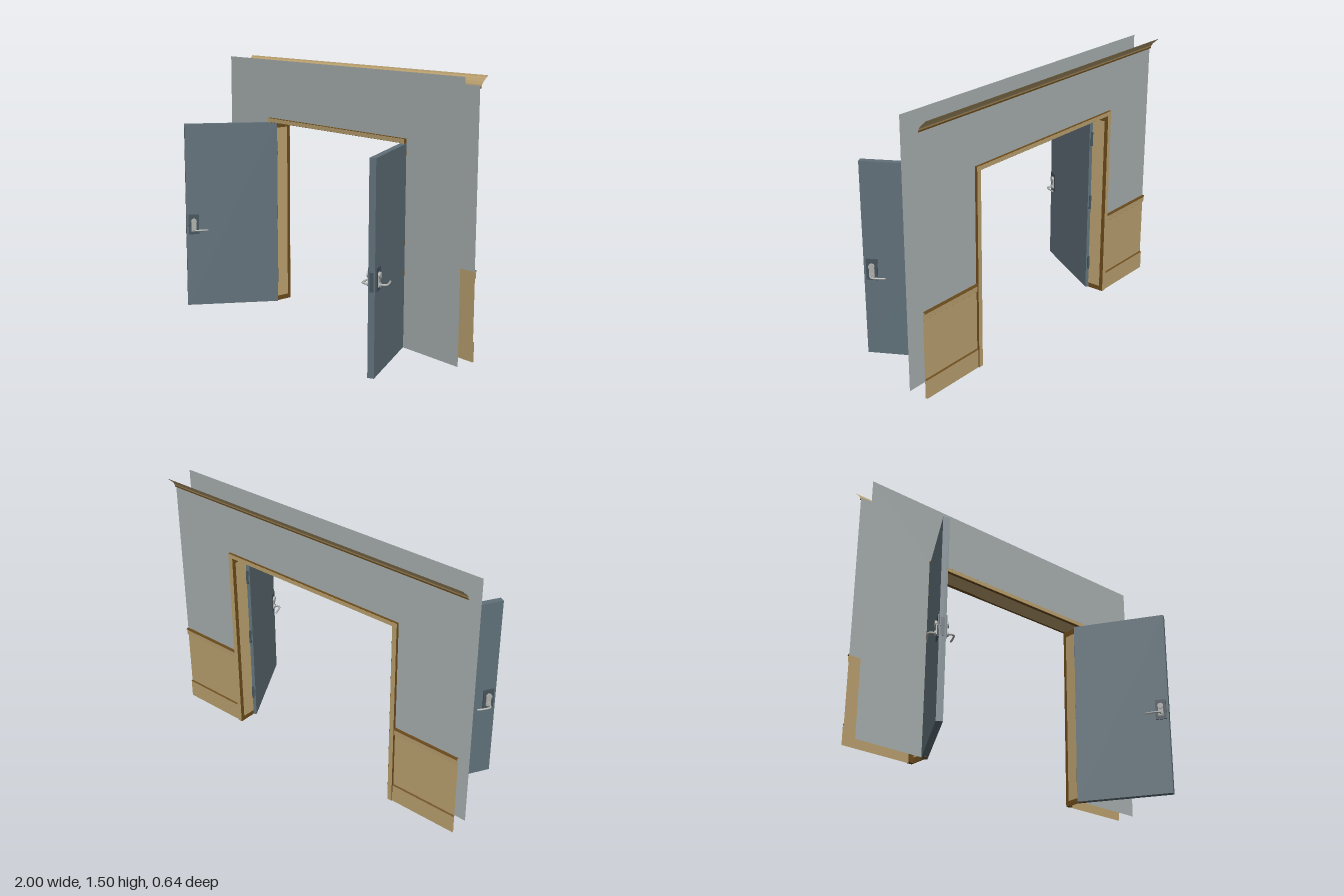
import * as THREE from 'three';

const mat = (name, color) => {
  const m = new THREE.MeshStandardMaterial({ color, side: THREE.DoubleSide });
  m.name = name;
  return m;
};

const FRONT = -0.155, BACK = -0.265;   // planes of the two wall skins
const OPEN = 0.565, HEAD = 1.125;      // half width and height of the opening

export function createModel() {
  const wall = mat('wallGrey', 0xaab1b1);
  const wood = mat('tanWood', 0xbca270);
  const dark = mat('darkWood', 0x6b4b1b);
  const slate = mat('slateDoor', 0x607079);
  const seam = mat('darkSlate', 0x46535b);
  const metal = mat('silverMetal', 0xaeb0ac);
  const model = new THREE.Group();

  const add = (parent, name, geo, material, x = 0, y = 0, z = 0) => {
    const m = new THREE.Mesh(geo, material);
    m.name = name;
    m.position.set(x, y, z);
    parent.add(m);
    return m;
  };
  const box = (parent, name, material, w, h, d, x, y, z) =>
    add(parent, name, new THREE.BoxGeometry(w, h, d), material, x, y, z);

  // Open moulding strip: a [y, z] profile swept along x
  const strip = (name, profile, x0, x1, material) => {
    const pos = [];
    for (let i = 0; i + 1 < profile.length; i++) {
      const [ya, za] = profile[i], [yb, zb] = profile[i + 1];
      pos.push(x0, ya, za, x0, yb, zb, x1, yb, zb, x0, ya, za, x1, yb, zb, x1, ya, za);
    }
    const g = new THREE.BufferGeometry();
    g.setAttribute('position', new THREE.Float32BufferAttribute(pos, 3));
    g.computeVertexNormals();
    add(model, name, g, material);
  };

  // Wall skins with the doorway cut out
  const skin = (bottom, top) => {
    const s = new THREE.Shape();
    [[-1, bottom], [-OPEN, bottom], [-OPEN, HEAD], [OPEN, HEAD], [OPEN, bottom],
      [1, bottom], [1, top], [-1, top]].forEach(([x, y], i) => (i ? s.lineTo(x, y) : s.moveTo(x, y)));
    return new THREE.ShapeGeometry(s);
  };
  add(model, 'frontWall', skin(0, 1.5), wall, 0, 0, FRONT);
  add(model, 'backWall', skin(0.49, 1.45), wall, 0, 0, BACK);

  // Crown moulding along the back
  strip('crownLip', [[1.435, BACK], [1.437, BACK - 0.009], [1.446, BACK - 0.01]], -1, 1, dark);
  strip('crownMoulding', [[1.446, BACK - 0.01], [1.455, BACK - 0.013], [1.47, BACK - 0.024],
    [1.485, BACK - 0.04], [1.492, BACK - 0.05], [1.5, BACK - 0.055]], -1, 1, wood);

  for (const s of [-1, 1]) {
    // Wainscot, chair rail and baseboard
    const x0 = s < 0 ? -1 : 0.585, x1 = s < 0 ? -0.585 : 1;
    strip('wainscotPanel', [[0, BACK - 0.002], [0.495, BACK - 0.002]], x0, x1, wood);
    strip('chairRail', [[0.45, BACK - 0.003], [0.455, BACK - 0.009], [0.485, BACK - 0.01],
      [0.49, BACK - 0.015]], x0, x1, wood);
    strip('chairRailTop', [[0.49, BACK - 0.015], [0.497, BACK - 0.012], [0.497, BACK]], x0, x1, dark);
    strip('baseboard', [[0, BACK - 0.01], [0.107, BACK - 0.01]], x0, x1, wood);
    strip('baseboardTop', [[0.107, BACK - 0.01], [0.113, BACK - 0.002]], x0, x1, dark);

    // Jamb lining with a dark border
    const depth = FRONT - BACK, mid = (FRONT + BACK) / 2;
    box(model, 'jamb', dark, 0.005, HEAD, depth, s * OPEN, HEAD / 2, mid);
    box(model, 'jambFace', wood, 0.008, HEAD - 0.065, depth - 0.016, s * OPEN, HEAD / 2 - 0.003, mid);
  }
  box(model, 'lintel', wood, OPEN * 2, 0.006, FRONT - BACK, 0, HEAD + 0.003, (FRONT + BACK) / 2);

  // Door casings: dark bodies with tan faces on both sides of the wall
  for (const [name, z, dir] of [['front', FRONT + 0.008, 1], ['back', BACK - 0.003, -1]]) {
    const d = dir > 0 ? 0.018 : 0.022, face = z + dir * (d / 2 + 0.001);
    for (const s of [-1, 1]) {
      box(model, name + 'CasingSide', dark, 0.03, 1.15, d, s * 0.578, 0.575, z);
      box(model, name + 'CasingSideFace', wood, 0.026, 1.148, 0.002, s * 0.578, 0.575, face);
    }
    box(model, name + 'CasingHead', dark, 1.186, 0.025, d, 0, 1.1375, z);
    box(model, name + 'CasingHeadFace', wood, 1.184, 0.022, 0.002, 0, 1.1375, face);
  }

  // Door leaves, swung open by 120 degrees
  const L = 0.56, T = 0.035, HX = 0.515;
  for (const s of [-1, 1]) {
    const door = new THREE.Group();
    door.name = s > 0 ? 'leftDoor' : 'rightDoor';
    door.position.set(s * 0.56, 0, -0.1765);
    door.rotation.y = s > 0 ? -Math.PI / 3 : -2 * Math.PI / 3;
    model.add(door);
    box(door, 'doorLeaf', slate, L, HEAD - 0.003, T, L / 2, HEAD / 2, 0);

    // Hinges on the outer edge
    for (const y of [0.165, 0.565, 0.965]) {
      add(door, 'hingeBarrel', new THREE.CylinderGeometry(0.008, 0.008, 0.085, 10), seam, -0.006, y, -s * 0.016);
      box(door, 'hingeLeaf', seam, 0.004, 0.085, 0.028, -0.002, y, -s * 0.004);
    }
    box(door, 'latchPlate', seam, 0.003, 0.1, 0.02, L, 0.5, 0);

    // Lock plate, cylinder and lever on both faces
    for (const f of [-1, 1]) {
      const z = f * T / 2;
      box(door, 'lockPlate', seam, 0.063, 0.122, 0.012, HX, 0.51, z);
      box(door, 'lockInset', metal, 0.03, 0.062, 0.006, HX, 0.5, z + f * 0.008);
      const round = (name, r, len, y) => {
        const c = add(door, name, new THREE.CylinderGeometry(r, r, len, 16), metal, HX, y, z + f * (0.006 + len / 2));
        c.rotation.x = Math.PI / 2;
      };
      round('lockCylinder', 0.017, 0.012, 0.53);
      round('leverRose', 0.013, 0.012, 0.48);
      const path = new THREE.CatmullRomCurve3([[0, 0.006], [0, 0.036], [-0.008, 0.046],
        [-0.045, 0.047], [-0.08, 0.042]].map(([x, d]) => new THREE.Vector3(HX + x, 0.48, z + f * d)));
      add(door, 'lever', new THREE.TubeGeometry(path, 20, 0.0055, 8), metal);
      add(door, 'leverTip', new THREE.SphereGeometry(0.0055, 8, 6), metal, HX - 0.08, 0.48, z + f * 0.042);
    }
  }
  return model;
}
